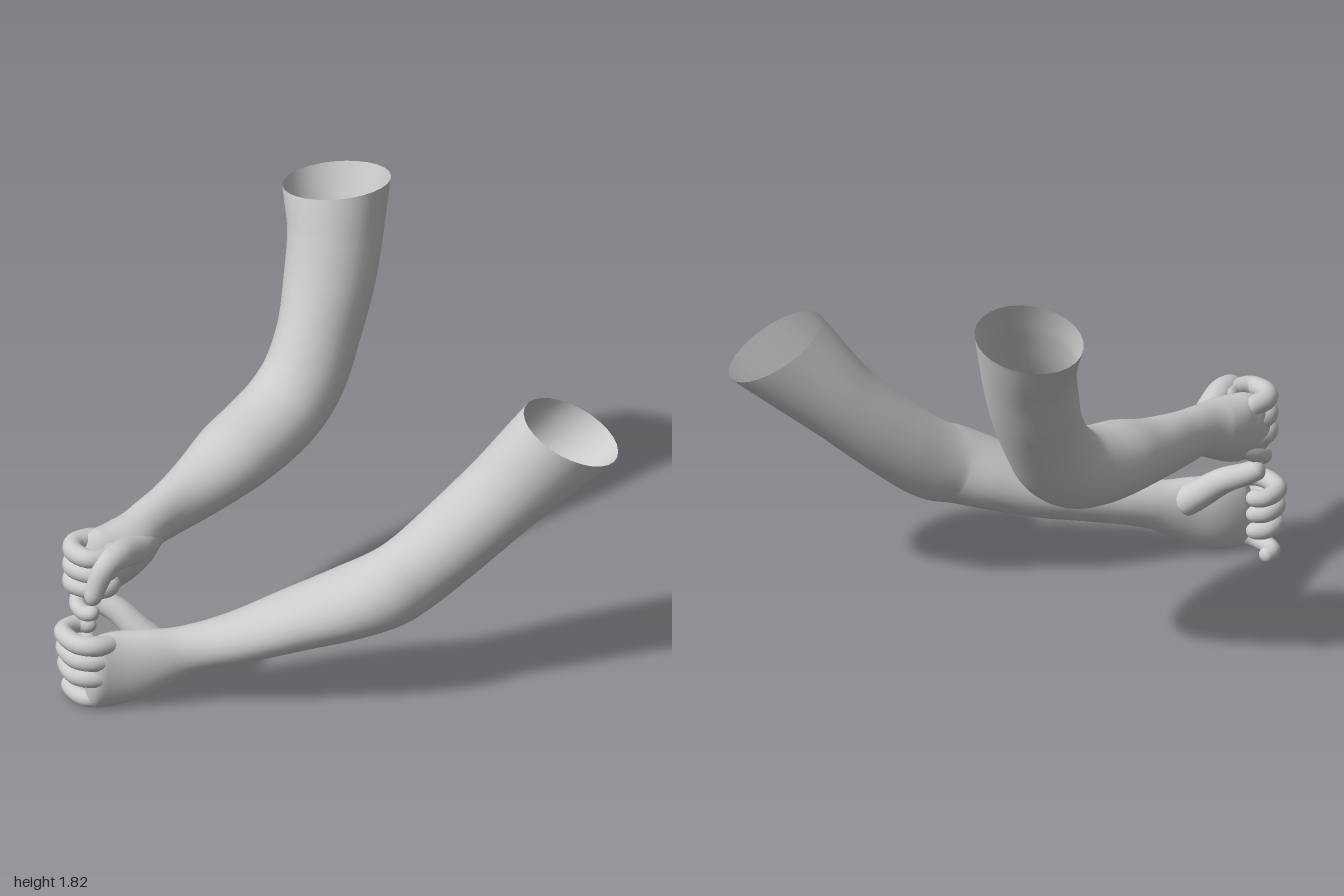
import * as THREE from 'three';

const material = new THREE.MeshStandardMaterial({ color: 0xcccccc, side: THREE.DoubleSide });
const V = (x, y, z) => new THREE.Vector3(x, y, z);

// Smooth loft through sections [x, y, z, radiusUp, radiusSide].
// ref(point): up hint; startDir: direction of the first ring; roundStart / roundEnd: closed ends.
function loft(name, sections, { ref, startDir, roundStart = 0, roundEnd = 0.06, steps = 6, sides = 28 }) {
  const path = new THREE.CatmullRomCurve3(sections.map(s => V(s[0], s[1], s[2])));
  const radii = new THREE.CatmullRomCurve3(sections.map(s => V(s[3], s[4], 0)));
  const n = sections.length - 1;

  // Ring parameters, packed closely where an end is rounded off
  const ts = [];
  for (let k = 0; k <= 5 && roundStart; k++) ts.push([roundStart * (1 - Math.cos(k / 5 * Math.PI / 2)), Math.sin(k / 5 * Math.PI / 2)]);
  for (let i = 0; i <= n * steps; i++) {
    const t = i / (n * steps);
    if ((!roundStart || t > roundStart) && t < 1 - roundEnd) ts.push([t, 1]);
  }
  for (let k = 0; k <= 6; k++) ts.push([1 - roundEnd + roundEnd * Math.sin(k / 6 * Math.PI / 2), Math.cos(k / 6 * Math.PI / 2)]);

  const pos = [], index = [];
  ts.forEach(([t, scale], i) => {
    const p = path.getPoint(t), r = radii.getPoint(t), dir = path.getTangent(t);
    if (startDir) dir.lerp(startDir, Math.max(0, 1 - t * n)).normalize();
    const up = ref(p).addScaledVector(dir, -ref(p).dot(dir)).normalize();
    const side = dir.clone().cross(up);
    for (let j = 0; j < sides; j++) {
      const a = j / sides * Math.PI * 2;
      const q = p.clone().addScaledVector(up, Math.cos(a) * r.x * scale).addScaledVector(side, Math.sin(a) * r.y * scale);
      pos.push(q.x, q.y, q.z);
      if (i === ts.length - 1) continue;
      const b = i * sides + j, c = i * sides + (j + 1) % sides;
      index.push(b, c, b + sides, c, c + sides, b + sides);
    }
  });
  const geo = new THREE.BufferGeometry();
  geo.setAttribute('position', new THREE.Float32BufferAttribute(pos, 3));
  geo.setIndex(index);
  geo.computeVertexNormals();
  const mesh = new THREE.Mesh(geo, material);
  mesh.name = name;
  return mesh;
}

// Arm with an open upper end, running on into the palm
const arm = (name, sections, startDir) => loft(name, sections, {
  startDir: startDir.normalize(),
  ref: p => V(0, 1, THREE.MathUtils.clamp(0.2 - p.z, 0, 1)).normalize(),
});

// Finger: points [x, y, z] with a radius that narrows to the tip
const finger = (name, points, r, taper = 0.2, ref = V(0, 1, 0)) => loft(name,
  points.map(([x, y, z], i) => {
    const w = r * (1 - taper * i / (points.length - 1));
    return [x, y, z, w, w];
  }),
  { ref: () => ref.clone(), roundStart: 0.08, roundEnd: 0.1, steps: 7, sides: 16 });

export function createModel() {
  const model = new THREE.Group();
  const left = new THREE.Group(), right = new THREE.Group();
  left.name = 'leftArmAndHand';
  right.name = 'rightArmAndHand';
  model.add(left, right);

  // Left arm: shoulder opening, elbow, wrist, palm
  left.add(arm('leftArm', [
    [0.75, 1.2, -0.755, 0.235, 0.21],
    [0.565, 0.9, -0.52, 0.175, 0.187],
    [0.44, 0.685, -0.32, 0.17, 0.175],
    [0.37, 0.57, -0.19, 0.172, 0.165],
    [0.33, 0.52, -0.09, 0.165, 0.175],
    [0.235, 0.46, 0.03, 0.148, 0.183],
    [0.09, 0.385, 0.2, 0.126, 0.17],
    [-0.06, 0.31, 0.4, 0.105, 0.135],
    [-0.2, 0.255, 0.57, 0.108, 0.092],
    [-0.28, 0.22, 0.68, 0.145, 0.085],
    [-0.37, 0.19, 0.8, 0.175, 0.08],
    [-0.41, 0.185, 0.88, 0.175, 0.07],
    [-0.43, 0.19, 0.94, 0.15, 0.05],
  ], V(-0.35, -0.85, 0.33)));

  // Left fingers, curling towards -x and back to the palm
  [['Index', 0.325], ['Middle', 0.25], ['Ring', 0.17]].forEach(([n, y], i) => left.add(finger('left' + n + 'Finger', [
    [-0.38, y - 0.02, 0.8], [-0.405, y, 0.92], [-0.47, y, 0.96], [-0.585, y, 0.93 - i * 0.01],
    [-0.595, y - 0.005, 0.84], [-0.53, y - 0.01, 0.79],
  ], 0.046)));
  left.add(finger('leftLittleFinger', [
    [-0.38, 0.1, 0.76], [-0.41, 0.06, 0.88], [-0.47, 0.045, 0.92], [-0.59, 0.045, 0.89], [-0.59, 0.04, 0.82],
  ], 0.042));
  left.add(finger('leftThumb', [
    [-0.28, 0.25, 0.64], [-0.37, 0.325, 0.69], [-0.46, 0.4, 0.73], [-0.54, 0.44, 0.78], [-0.6, 0.475, 0.83],
  ], 0.07, 0.4, V(0, 0, 1)));

  // Right arm: shoulder opening, elbow, wrist, palm
  right.add(arm('rightArm', [
    [-0.715, 1.78, -0.775, 0.225, 0.235],
    [-0.655, 1.58, -0.71, 0.205, 0.202],
    [-0.615, 1.38, -0.635, 0.195, 0.192],
    [-0.575, 1.17, -0.53, 0.187, 0.172],
    [-0.555, 1.02, -0.43, 0.185, 0.175],
    [-0.55, 0.925, -0.32, 0.178, 0.18],
    [-0.54, 0.87, -0.18, 0.17, 0.182],
    [-0.525, 0.83, 0, 0.16, 0.177],
    [-0.51, 0.78, 0.2, 0.135, 0.142],
    [-0.5, 0.745, 0.4, 0.122, 0.1],
    [-0.49, 0.73, 0.53, 0.11, 0.095],
    [-0.48, 0.69, 0.65, 0.132, 0.115],
    [-0.5, 0.655, 0.77, 0.155, 0.1],
    [-0.53, 0.65, 0.85, 0.145, 0.07],
    [-0.54, 0.66, 0.91, 0.12, 0.045],
  ], V(0.2, -0.97, 0.06)));

  // Right fingers, curling towards +x and back to the palm
  [['Index', 0.76], ['Middle', 0.68], ['Ring', 0.6]].forEach(([n, y], i) => right.add(finger('right' + n + 'Finger', [
    [-0.53, y - 0.01, 0.76], [-0.555, y, 0.89], [-0.51, y, 0.94], [-0.42, y, 0.935 - i * 0.01],
    [-0.39, y - 0.005, 0.86], [-0.43, y - 0.01, 0.78],
  ], 0.047)));
  right.add(finger('rightLittleFinger', [
    [-0.53, 0.59, 0.74], [-0.56, 0.52, 0.83], [-0.53, 0.48, 0.9], [-0.45, 0.475, 0.93], [-0.385, 0.505, 0.92],
  ], 0.04));
  right.add(finger('rightThumb', [
    [-0.46, 0.7, 0.56], [-0.41, 0.71, 0.68], [-0.365, 0.75, 0.82], [-0.355, 0.74, 0.9], [-0.365, 0.66, 0.94], [-0.375, 0.565, 0.97],
  ], 0.075, 0.5, V(1, 0, 0)));

  return model;
}
